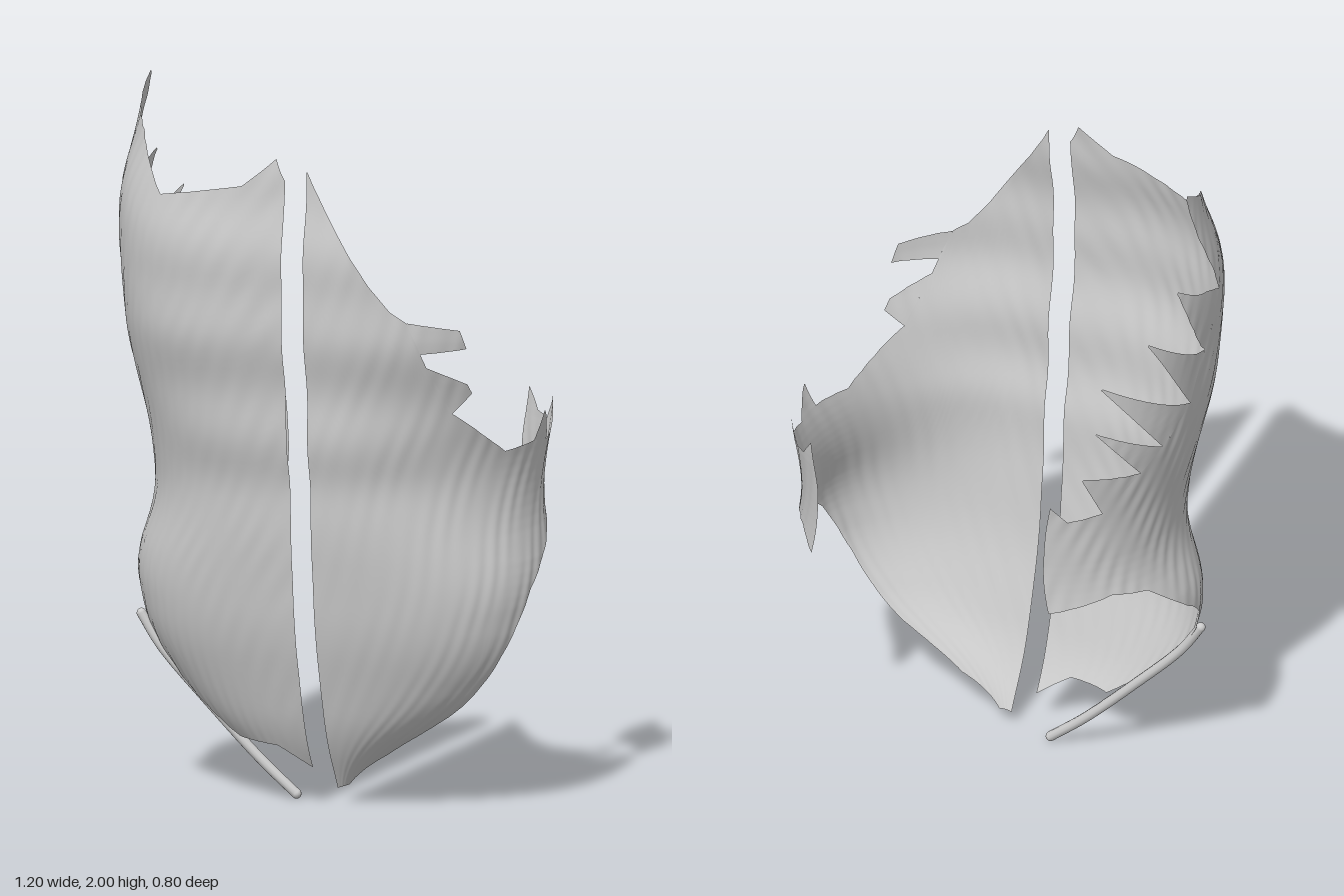
import * as THREE from 'three';
import { mergeGeometries } from 'three/addons/utils/BufferGeometryUtils.js';

const { smoothstep, lerp } = THREE.MathUtils;
const material = new THREE.MeshStandardMaterial({ color: 0xcccccc, side: THREE.DoubleSide, roughness: 0.8 });

// Piecewise linear lookup in a list of [key, value] pairs
function lookup(pairs, k) {
  for (let i = 1; i < pairs.length; i++) {
    if (k <= pairs[i][0]) {
      const [a, b] = [pairs[i - 1], pairs[i]];
      return lerp(a[1], b[1], Math.max(0, (k - a[0]) / (b[0] - a[0])));
    }
  }
  return pairs[pairs.length - 1][1];
}
// Averaged lookup, so profiles flow smoothly
const soft = (pairs, k) => [-0.06, -0.03, 0, 0.03, 0.06].reduce((s, d) => s + lookup(pairs, k + d) / 5, 0);

// Depth of the front of the belly by height
const front = [[0, 0.06], [0.05, 0.09], [0.2, 0.18], [0.5, 0.27], [0.8, 0.315], [0.9, 0.315],
  [1, 0.345], [1.2, 0.365], [1.4, 0.4], [1.6, 0.395], [1.85, 0.36], [2, 0.33]];

// Point on the body wall: t is degrees around from the front midline, y is height
function wall(side, t, y) {
  const a = THREE.MathUtils.degToRad(t), c = Math.cos(a), s = Math.sin(a);
  const centre = soft(side.centre, y), power = soft(side.power, y);
  const depth = c > 0 ? soft(front, y) - side.inset * smoothstep(y, 0.8, 1.3) - centre : centre - side.back;
  // soft muscle bellies near the midline, fine oblique fibres on the flank
  const belly = 0.009 * Math.sin(y * 24 + 1) * smoothstep(y, 0.75, 1) * smoothstep(60 - t, 0, 40);
  const fibre = 0.0025 * Math.sin(t * 0.9 + y * side.slant) * (0.6 + 0.4 * Math.sin(t * 0.23 - y * 17));
  const k = 1 + belly + fibre;
  const x = side.gap + (soft(side.width, y) - side.gap) * Math.pow(Math.max(s, 0), power) * k;
  // shallow hollow along the midline
  const hollow = 0.025 * smoothstep(y, 0.2, 1.2) * (1 - smoothstep(x, 0, 0.2));
  const z = centre + depth * Math.sign(c) * Math.pow(Math.abs(c), power) * k - hollow;
  return [side.sign * x, y, z];
}

// Grid surface from at(u, v) giving [t, y] on the wall
function patch(side, nu, nv, at) {
  const pos = [], index = [];
  for (let i = 0; i <= nu; i++) {
    for (let j = 0; j <= nv; j++) {
      pos.push(...wall(side, ...at(i / nu, j / nv)));
      if (i < nu && j < nv) {
        const a = i * (nv + 1) + j, b = a + nv + 1;
        if (side.sign > 0) index.push(a, b, a + 1, b, b + 1, a + 1);
        else index.push(a, a + 1, b, b, a + 1, b + 1);
      }
    }
  }
  const g = new THREE.BufferGeometry();
  g.setAttribute('position', new THREE.Float32BufferAttribute(pos, 3));
  g.setIndex(index);
  g.computeVertexNormals();
  return g;
}

// Muscle sheet between a lower and an upper edge, with pointed slips on the upper edge
function sheet(name, side) {
  const parts = [patch(side, 300, 60, (u, v) => {
    const t = u * side.end;
    return [t, lerp(lookup(side.bottom, t), lookup(side.top, t), v)];
  })];
  for (const [a, b, tip, blunt = 0.04] of side.slips) {
    parts.push(patch(side, 12, 16, (u, v) => {
      const w = (u - 0.5) * (1 - v * (1 - blunt));
      return [0, 1].map((i) => lerp((a[i] + b[i]) / 2, tip[i], v) + (b[i] - a[i]) * w);
    }));
  }
  const mesh = new THREE.Mesh(mergeGeometries(parts), material);
  mesh.name = name;
  return mesh;
}

// Outer muscle: tall sheet with a saw-toothed rear upper edge
const outer = {
  sign: -1, gap: 0.005, slant: 45, end: 149, back: -0.46, inset: 0,
  centre: [[0, -0.05], [2, -0.05]],
  power: [[0, 0.8], [0.6, 0.85], [0.8, 0.93], [1.05, 0.93], [1.3, 0.8], [1.7, 0.8], [1.88, 1]],
  width: [[0, 0.06], [0.05, 0.09], [0.15, 0.27], [0.27, 0.4], [0.45, 0.53], [0.65, 0.575], [0.85, 0.51],
    [1, 0.52], [1.3, 0.58], [1.6, 0.605], [1.75, 0.6], [1.85, 0.575], [2, 0.55]],
  bottom: [[0, 0.11], [5, 0.13], [15, 0.17], [45, 0.18], [60, 0.3], [72, 0.48], [82, 0.6], [95, 0.69],
    [110, 0.78], [125, 0.8], [150, 0.76]],
  top: [[0, 1.8], [2.5, 1.86], [10, 1.78], [25, 1.75], [37, 1.73], [45, 1.79], [59, 1.88], [80, 1.65], [89, 1.5],
    [94, 1.36], [108, 1.27], [117, 1.2], [130, 1.08], [142, 1.06], [150, 1.12]],
  slips: [
    [[59, 1.88], [80, 1.65], [91, 2.0]],
    [[80, 1.65], [89, 1.5], [104, 1.76]],
    [[89, 1.5], [94, 1.36], [119, 1.64]],
    [[94, 1.36], [108, 1.27], [137, 1.52]],
    [[108, 1.27], [117, 1.2], [138, 1.37]],
    [[117, 1.2], [130, 1.08], [140, 1.21]],
  ],
};

// Inner muscle: fan-shaped sheet with a tapering upper front and a low flank band
const inner = {
  sign: 1, gap: 0.055, slant: -30, end: 135, back: -0.5, inset: 0.015,
  centre: [[0, -0.05], [0.6, -0.05], [1, -0.17], [1.1, -0.17], [1.3, -0.1]],
  power: [[0, 0.8], [0.6, 0.85], [1, 1], [1.1, 1], [1.3, 0.9]],
  width: [[0, 0.06], [0.05, 0.09], [0.1, 0.15], [0.15, 0.22], [0.19, 0.28], [0.27, 0.43], [0.35, 0.5],
    [0.45, 0.575], [0.65, 0.605], [0.85, 0.555], [1, 0.56], [1.1, 0.59], [1.3, 0.6]],
  bottom: [[0, 0.05], [30, 0.06], [55, 0.15], [64, 0.27], [69, 0.45], [74, 0.53], [82, 0.63], [92, 0.71],
    [104, 0.78], [116, 0.8], [125, 0.79], [135, 0.75]],
  top: [[0, 1.83], [1.5, 1.79], [5.3, 1.72], [13, 1.6], [18.6, 1.52], [25, 1.45], [30, 1.42], [34, 1.33],
    [36, 1.29], [45, 1.15], [50, 1.12], [58, 1.07], [67, 1.02], [82, 1.03], [92, 1.02], [105, 1.04],
    [117, 1.05], [127, 1.06], [135, 1.12]],
  slips: [
    [[30, 1.42], [34, 1.33], [49, 1.365], 0.6],
    [[36, 1.29], [45, 1.15], [51, 1.22], 0.2],
    [[82, 1.03], [92, 1.02], [86, 1.11]],
    [[105, 1.04], [117, 1.05], [114, 1.12]],
  ],
};

export function createModel() {
  const group = new THREE.Group();
  group.name = 'abdominalWall';
  group.add(sheet('outerObliqueMuscle', outer), sheet('innerObliqueMuscle', inner));

  // Slender ligament along the lower edge of the outer muscle
  const path = new THREE.CatmullRomCurve3([
    [-0.53, 0.5, 0.08], [-0.47, 0.41, 0.08], [-0.33, 0.26, 0.075], [-0.18, 0.11, 0.07], [-0.075, 0.02, 0.07],
  ].map((p) => new THREE.Vector3(...p)));
  const ligament = new THREE.Mesh(new THREE.TubeGeometry(path, 40, 0.014, 10), material);
  ligament.name = 'ligament';
  group.add(ligament);
  for (const u of [0, 1]) {
    const cap = new THREE.Mesh(new THREE.SphereGeometry(0.014, 12, 8), material);
    cap.name = 'ligamentEnd';
    cap.position.copy(path.getPoint(u));
    group.add(cap);
  }
  return group;
}
